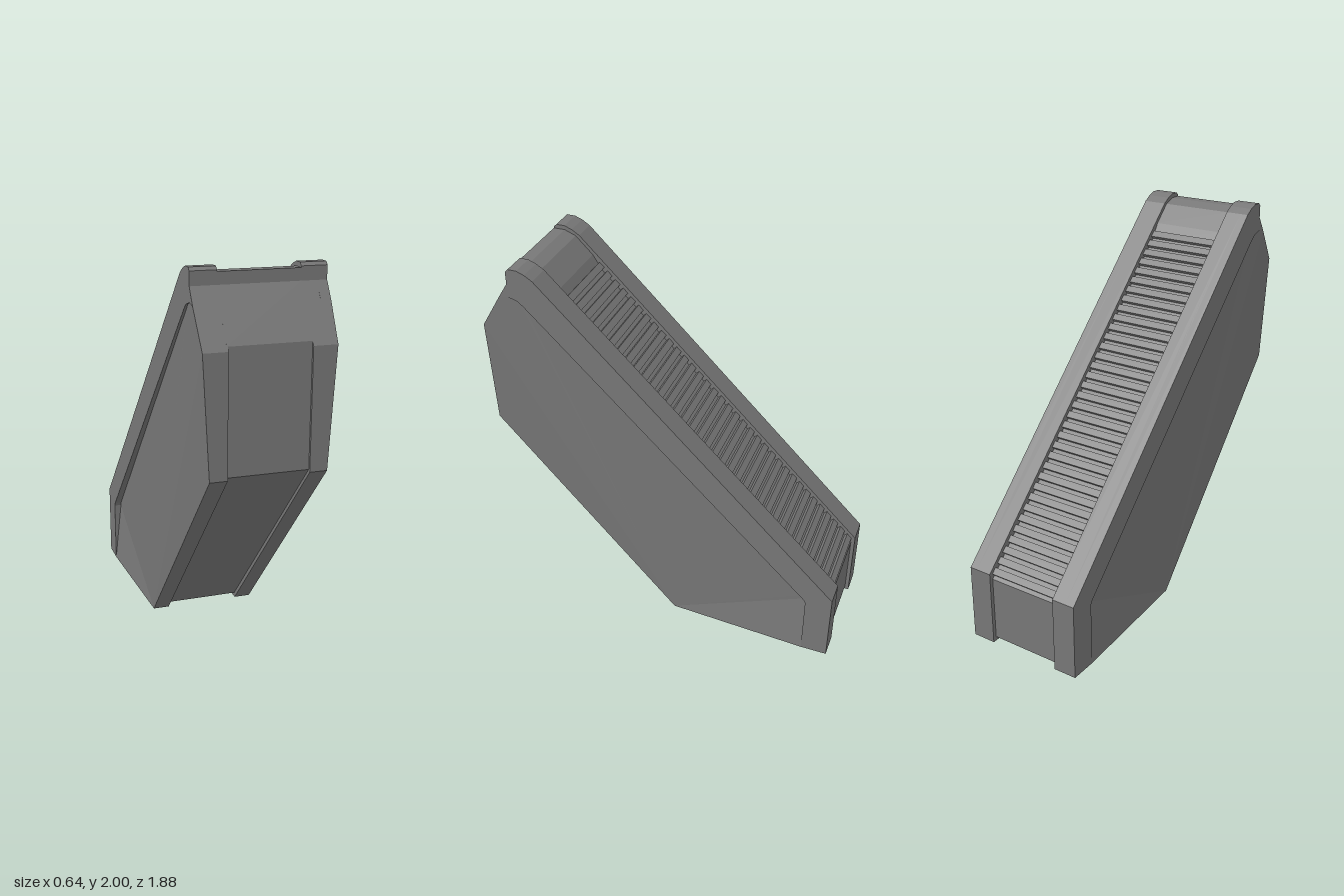
import * as THREE from 'three';

const grey = new THREE.MeshStandardMaterial({ color: 0x777777 });
grey.name = 'grey';

// Extrude a side profile of [z, y] points between two x positions
function slab(name, points, x0, x1) {
  const shape = new THREE.Shape(points.map(([z, y]) => new THREE.Vector2(-z, y)));
  const geo = new THREE.ExtrudeGeometry(shape, { depth: x1 - x0, bevelEnabled: false });
  geo.rotateY(Math.PI / 2).translate(x0, 0, 0);
  const mesh = new THREE.Mesh(geo, grey);
  mesh.name = name;
  return mesh;
}

// Tapered side panel: outline of [z, y, x] points, with a skirt back to x = base
function panel(name, pts, base, side) {
  const pos = [];
  const tri = (a, b, c) => {
    for (const [z, y, x] of side > 0 ? [a, b, c] : [a, c, b]) pos.push(x * side, y, z);
  };
  const n = pts.length;
  for (let i = 1; i < n - 1; i++) tri(pts[0], pts[i], pts[i + 1]);
  for (let i = 0; i < n; i++) {
    const a = pts[i], b = pts[(i + 1) % n];
    const a0 = [a[0], a[1], base], b0 = [b[0], b[1], base];
    tri(a, a0, b0);
    tri(a, b0, b);
  }
  const geo = new THREE.BufferGeometry();
  geo.setAttribute('position', new THREE.Float32BufferAttribute(pos, 3));
  geo.computeVertexNormals();
  const mesh = new THREE.Mesh(geo, grey);
  mesh.name = name;
  return mesh;
}

export function createModel() {
  const group = new THREE.Group();
  group.name = 'slantedCase';

  // Rounded crest shared by the rails and rims
  const crest = [[0.64, 1.96], [0.68, 1.985], [0.72, 2], [0.765, 2], [0.78, 1.985], [0.78, 1.92]];
  const railProfile = [[-0.05, 0], [-0.94, 0], [-0.94, 0.4], ...crest, [0.94, 1.66], [0.94, 1.08]];
  const rimProfile = [
    [-0.8, 0], [-0.94, 0], [-0.94, 0.4], ...crest,
    [0.83, 1.84], [0.78, 1.85], [0.73, 1.835], [0.7, 1.81], [-0.79, 0.36], [-0.8, 0.34],
  ];
  const panelOutline = [
    [-0.05, 0, 0.28], [-0.8, 0, 0.32], [-0.8, 0.34, 0.282], [-0.79, 0.36, 0.283],
    [0.7, 1.81, 0.308], [0.73, 1.835, 0.311], [0.78, 1.85, 0.315], [0.83, 1.84, 0.32],
    [0.94, 1.66, 0.312], [0.94, 1.08, 0.28],
  ];

  // Recessed middle
  group.add(slab('core', [
    [-0.06, 0.022], [-0.92, 0.022], [-0.92, 0.364], [0.52, 1.785], [0.57, 1.865],
    [0.66, 1.955], [0.72, 1.978], [0.78, 1.978], [0.78, 1.92], [0.928, 1.68], [0.928, 1.09],
  ], -0.2, 0.2));

  // Side rails, raised rims and tapered panels
  for (const side of [1, -1]) {
    const label = side > 0 ? 'left' : 'right';
    const span = (a, b) => (side > 0 ? [a, b] : [-b, -a]);
    group.add(slab(label + 'Rail', railProfile, ...span(0.195, 0.279)));
    group.add(slab(label + 'Rim', rimProfile, ...span(0.27, 0.32)));
    group.add(panel(label + 'Panel', panelOutline, 0.27, side));
  }

  // Ribs across the sloping channel
  const ribs = new THREE.Group();
  ribs.name = 'ribs';
  const angle = Math.atan2(1.58, 1.6);
  const ribGeo = new THREE.BoxGeometry(0.39, 0.025, 0.036);
  const depth = 0.031;
  for (let i = 0; i < 35; i++) {
    const z = -0.92 + i * 0.042;
    const rib = new THREE.Mesh(ribGeo, grey);
    rib.name = 'rib';
    const y = 0.4 + (z + 0.94) * Math.tan(angle);
    rib.position.set(0, y - depth * Math.cos(angle), z + depth * Math.sin(angle));
    rib.rotation.x = -angle;
    ribs.add(rib);
  }
  group.add(ribs);
  return group;
}
